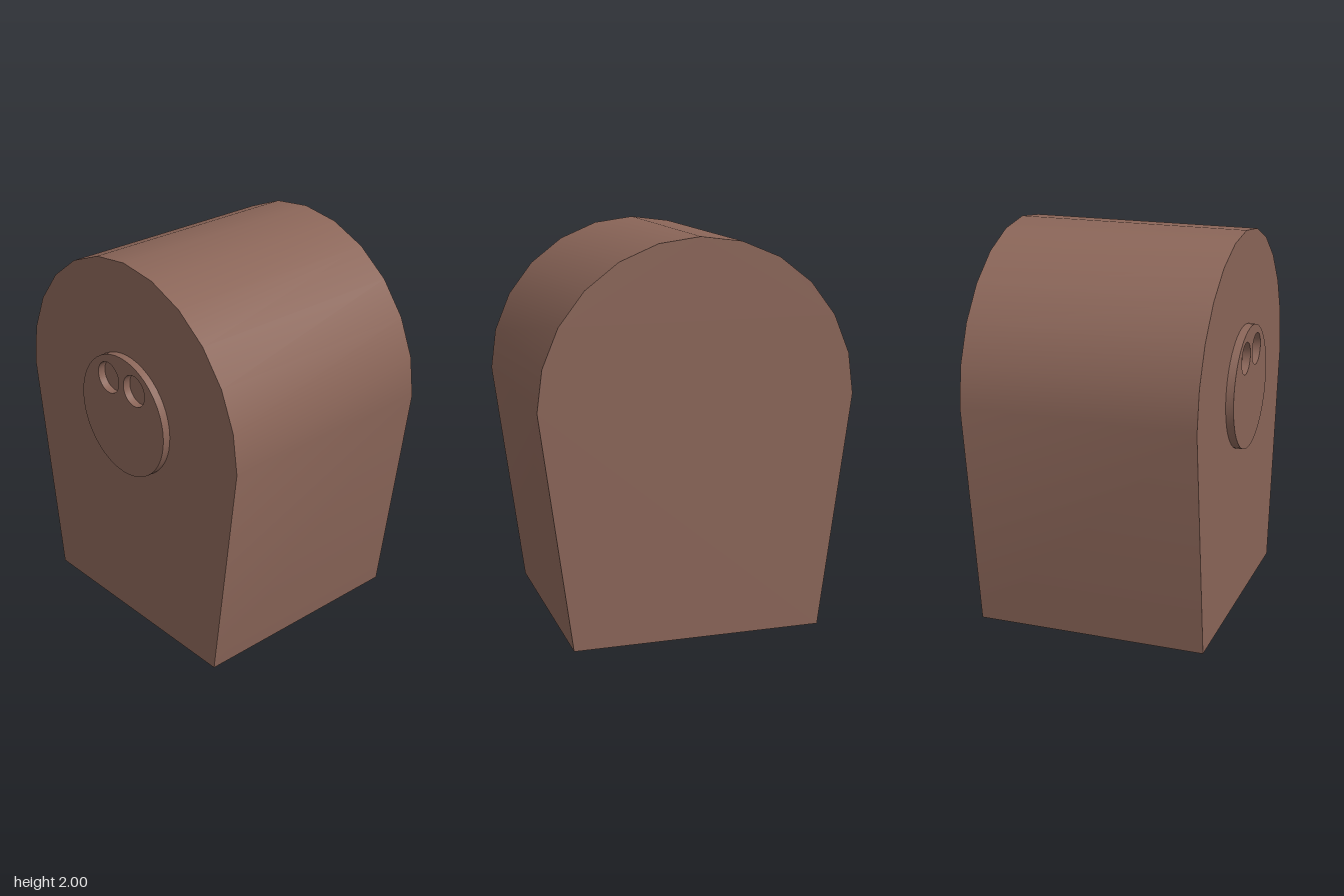
import * as THREE from 'three';
import { toCreasedNormals } from 'three/addons/utils/BufferGeometryUtils.js';

const BACK = -0.62, FACE = 0.58, FRONT = 0.62;
const CENTRE_Y = 1.2;

// Extrudes a shape between two z planes, smooth around curves and sharp at rims
function slab(name, shape, zBack, zFront, curveSegments, material) {
  const geometry = new THREE.ExtrudeGeometry(shape, {
    depth: zFront - zBack, bevelEnabled: false, curveSegments,
  });
  geometry.translate(0, 0, zBack);
  const mesh = new THREE.Mesh(toCreasedNormals(geometry, 0.6), material);
  mesh.name = name;
  return mesh;
}

export function createModel() {
  const group = new THREE.Group();
  group.name = 'archedBlock';
  const brown = new THREE.MeshStandardMaterial({ color: 0x8a6558 });
  brown.name = 'brown';

  // Body: tapered sides under a twelve-sided half-round top
  const bodyShape = new THREE.Shape();
  bodyShape.moveTo(-0.64, 0);
  bodyShape.lineTo(0.64, 0);
  bodyShape.lineTo(0.8, CENTRE_Y);
  bodyShape.absarc(0, CENTRE_Y, 0.8, 0, Math.PI, false);
  bodyShape.closePath();
  group.add(slab('body', bodyShape, BACK, FACE, 6, brown));

  // Raised round plate with two round holes near its top
  const plateShape = new THREE.Shape();
  plateShape.absarc(0, CENTRE_Y, 0.32, 0, Math.PI * 2, false);
  for (const side of [-1, 1]) {
    const hole = new THREE.Path();
    hole.absarc(side * 0.1, 1.376, 0.082, 0, Math.PI * 2, true);
    plateShape.holes.push(hole);
  }
  group.add(slab('roundPlate', plateShape, FACE, FRONT, 24, brown));

  return group;
}
